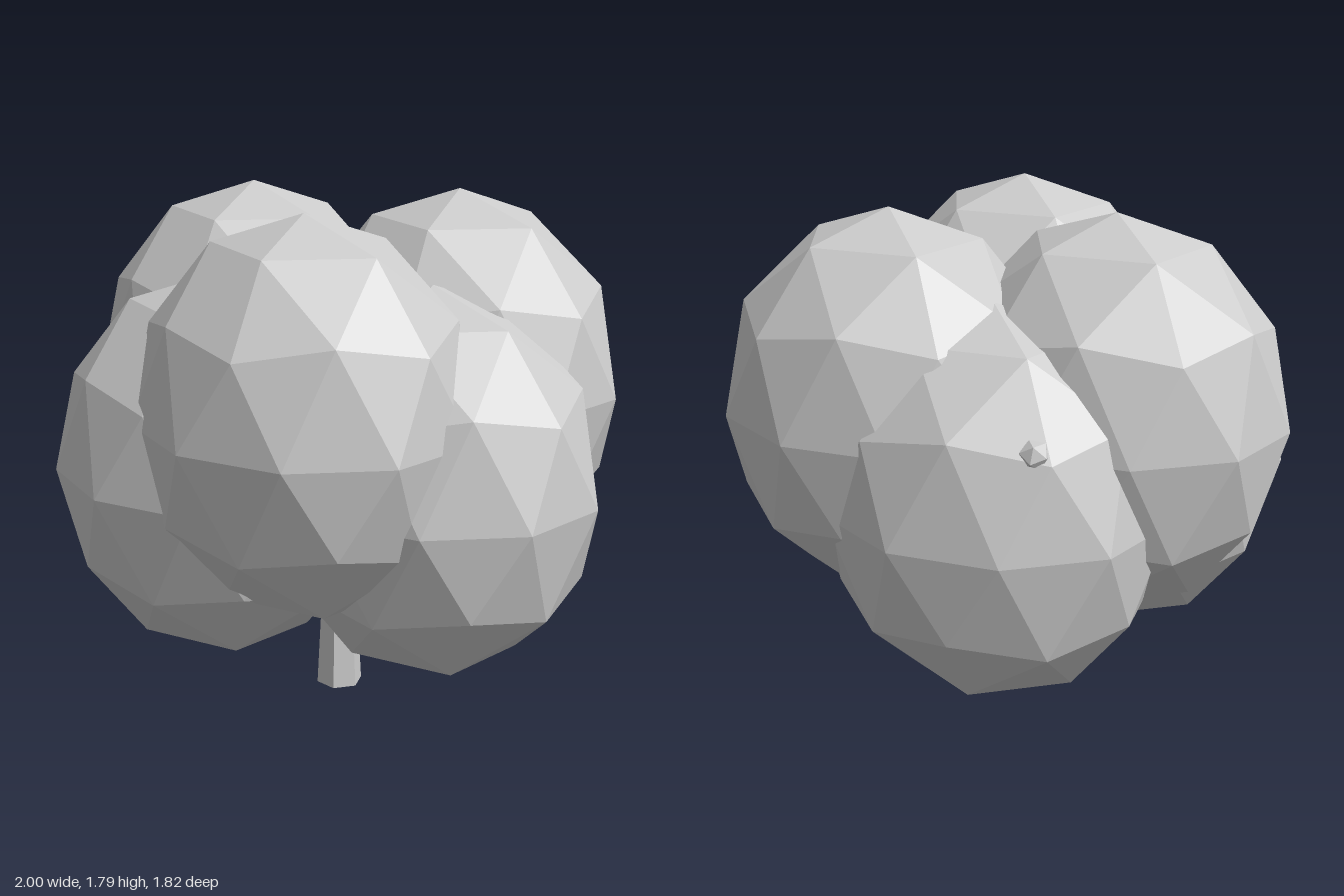
import * as THREE from 'three';

export function createModel() {
  const tree = new THREE.Group();
  tree.name = 'tree';
  const grey = new THREE.MeshStandardMaterial({ color: 0xcccccc, flatShading: true });
  grey.name = 'plain grey';

  const add = (name, geometry, x, y, z) => {
    const mesh = new THREE.Mesh(geometry, grey);
    mesh.name = name;
    mesh.position.set(x, y, z);
    tree.add(mesh);
    return mesh;
  };

  // Faceted leaf ball, turned so that a corner points straight up
  const ball = new THREE.IcosahedronGeometry(1, 1);
  ball.rotateZ(-Math.atan(2 / (1 + Math.sqrt(5))));
  ball.scale(0.6, 0.67, 0.54);

  // Two rings of three clumps, the lower ring half a turn from the upper
  const ringRadius = 0.427;
  for (let i = 0; i < 3; i++) {
    const a = Math.PI + (i * Math.PI * 2) / 3;
    const x = ringRadius * Math.cos(a), z = ringRadius * Math.sin(a);
    add('upperLeafClump' + (i + 1), ball, x, 1.122, z);
    add('lowerLeafClump' + (i + 1), ball, -x, 0.872, -z);
  }

  // Six-sided tapering trunk
  const trunk = new THREE.CylinderGeometry(0.035, 0.083, 0.9, 6);
  trunk.rotateY(Math.PI / 2);
  add('trunk', trunk, 0, 0.45, 0);

  // Small knot showing through the back clump
  const knot = add('knot', new THREE.IcosahedronGeometry(0.05, 0), -0.585, 1.195, -0.655);
  knot.rotation.set(0.3, 0.4, 0);

  return tree;
}
